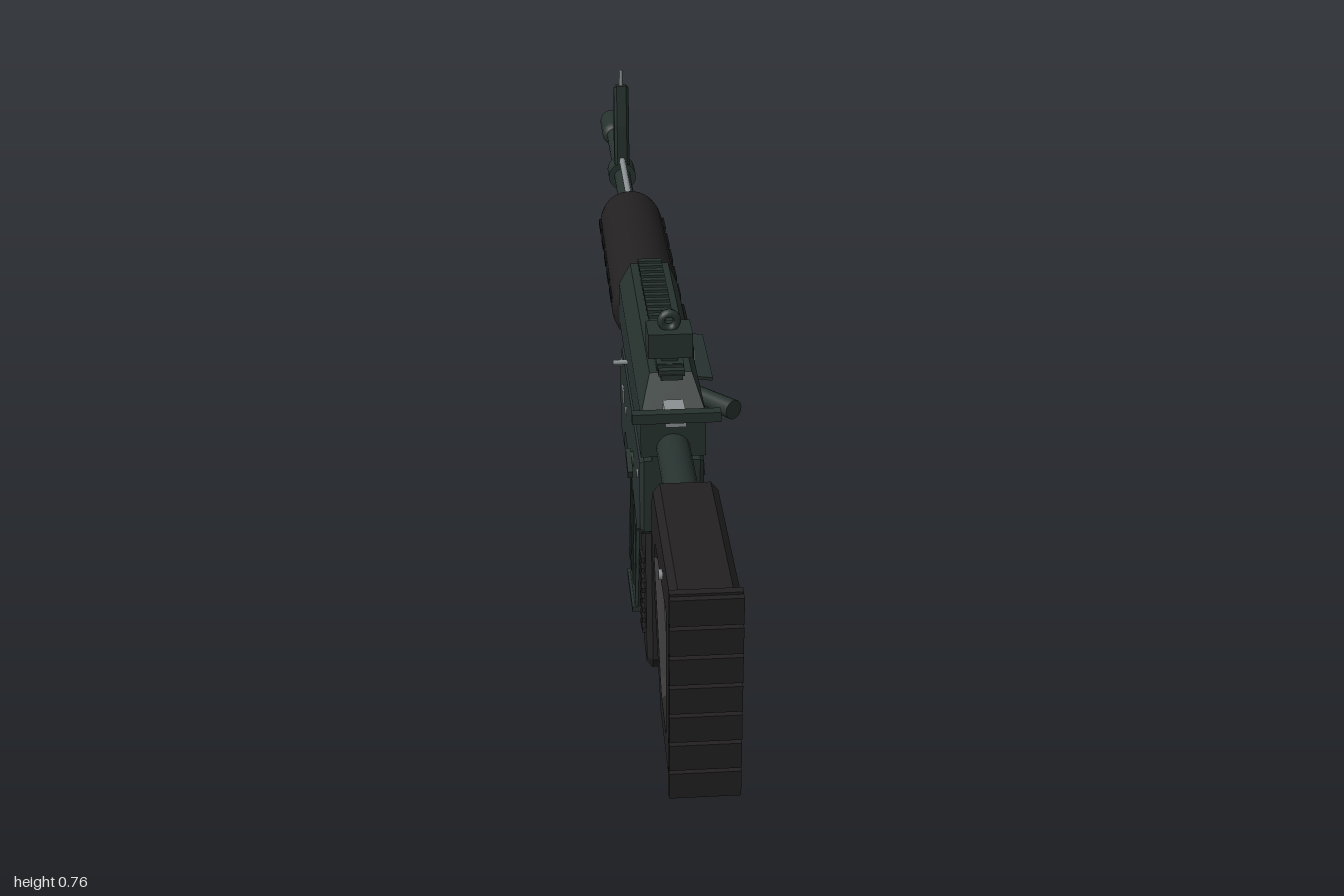
import * as THREE from 'three';

export function createModel() {
  const model = new THREE.Group();
  const root = new THREE.Group();
  root.name = 'rifle';
  root.position.x = -0.0175; // side handle sticks out, so the body sits off centre
  model.add(root);

  const mat = (name, color) => {
    const m = new THREE.MeshStandardMaterial({ color });
    m.name = name;
    return m;
  };
  const green = mat('dark green metal', 0x27322f);
  const black = mat('black polymer', 0x222020);
  const steel = mat('bare steel', 0x8a9092);
  const shade = mat('recess black', 0x101111);

  const add = (name, geo, material, x = 0, y = 0, z = 0) => {
    const mesh = new THREE.Mesh(geo, material);
    mesh.name = name;
    mesh.position.set(x, y, z);
    root.add(mesh);
    return mesh;
  };
  const box = (name, m, w, h, d, x, y, z) => add(name, new THREE.BoxGeometry(w, h, d), m, x, y, z);
  // Side profile given as [z, y], extruded across x with an optional bevel
  const side = (pts, width, bevel = 0, hole = null) => {
    const v = (a) => a.map(([z, y]) => new THREE.Vector2(z, y));
    const shape = new THREE.Shape(v(pts));
    if (hole) shape.holes.push(new THREE.Path(v(hole)));
    const depth = width - 2 * bevel;
    return new THREE.ExtrudeGeometry(shape, {
      depth, steps: 1, bevelEnabled: bevel > 0, bevelSize: bevel,
      bevelThickness: bevel, bevelOffset: -bevel, bevelSegments: 1,
    }).translate(0, 0, -depth / 2).rotateY(-Math.PI / 2);
  };
  // Round part along z
  const rod = (name, m, r, z0, z1, y, seg = 20) =>
    add(name, new THREE.CylinderGeometry(r, r, Math.abs(z1 - z0), seg).rotateX(Math.PI / 2), m, 0, y, (z0 + z1) / 2);
  // Turned part along z, profile as [radius, z]
  const turned = (name, m, pts, y, seg = 24) =>
    add(name, new THREE.LatheGeometry(pts.map(([r, z]) => new THREE.Vector2(r, z)), seg).rotateX(Math.PI / 2), m, 0, y, 0);
  // Pin through the body along x
  const pin = (name, m, r, len, y, z) =>
    add(name, new THREE.CylinderGeometry(r, r, len, 12).rotateZ(Math.PI / 2), m, 0, y, z);

  // Shoulder stock with open middle
  add('stock', side(
    [[0.985, 0.307], [0.985, 0.607], [0.69, 0.607], [0.647, 0.555], [0.69, 0.475], [0.83, 0.325]],
    0.09, 0.01,
    [[0.91, 0.365], [0.855, 0.375], [0.835, 0.39], [0.73, 0.51], [0.74, 0.53], [0.91, 0.53]]), black);
  box('buttPad', black, 0.094, 0.304, 0.012, 0, 0.457, 0.984);
  for (let i = 0; i < 7; i++) box('buttRidge', black, 0.094, 0.038, 0.012, 0, 0.327 + i * 0.0433, 0.994);
  box('stockLatch', black, 0.03, 0.03, 0.025, 0, 0.47, 0.695);
  pin('stockPin', steel, 0.007, 0.1, 0.56, 0.855);
  rod('stockTube', green, 0.025, 0.44, 0.69, 0.562);

  // Upper receiver, narrowing toward the top
  box('upperReceiver', green, 0.095, 0.067, 0.495, 0, 0.5835, 0.2525);
  const roof = side([[0.5, 0.617], [0.45, 0.662], [0.03, 0.662], [0.005, 0.617]], 0.095);
  const p = roof.attributes.position;
  for (let i = 0; i < p.count; i++) if (p.getY(i) > 0.64) p.setX(i, p.getX(i) * 0.65);
  roof.computeVertexNormals();
  add('receiverRoof', roof, green);

  // Top rail
  box('railBase', green, 0.032, 0.008, 0.435, 0, 0.662, 0.2525);
  for (let i = 0; i < 22; i++) box('railTooth', green, 0.038, 0.009, 0.011, 0, 0.668, 0.042 + i * 0.02);

  // Ejection port and its open flap
  box('portFrame', shade, 0.004, 0.05, 0.172, 0.0475, 0.599, 0.2);
  box('bolt', steel, 0.006, 0.038, 0.16, 0.0485, 0.599, 0.2);
  box('portFlap', green, 0.034, 0.005, 0.165, 0.063, 0.568, 0.193).rotation.z = -0.12;

  // Side handle swept backward
  const handle = new THREE.Group();
  handle.name = 'sideHandle';
  const grip = new THREE.Mesh(new THREE.CylinderGeometry(0.015, 0.012, 0.09, 14), green);
  grip.name = 'handleKnob';
  grip.quaternion.setFromUnitVectors(new THREE.Vector3(0, 1, 0), new THREE.Vector3(0.58, 0.04, 0.81).normalize());
  handle.add(grip);
  handle.position.set(0.066, 0.6, 0.422);
  root.add(handle);

  // Rear charging bar
  box('chargingRod', steel, 0.03, 0.02, 0.05, 0, 0.627, 0.515);
  box('chargingBar', green, 0.127, 0.015, 0.016, 0, 0.638, 0.547);

  // Lower receiver
  add('lowerReceiver', side(
    [[0.48, 0.533], [0.48, 0.415], [0.41, 0.373], [0.27, 0.405], [0.135, 0.405], [0.115, 0.365],
      [0.02, 0.365], [0.01, 0.48], [0.06, 0.533]], 0.095, 0.006), green);
  box('receiverLink', green, 0.06, 0.024, 0.04, 0, 0.542, 0.46);
  for (const [y, z] of [[0.49, 0.435], [0.465, 0.17], [0.50, 0.06]]) pin('receiverPin', steel, 0.007, 0.1, y, z);
  box('magazineRelease', steel, 0.1, 0.022, 0.026, 0, 0.462, 0.1);
  for (const s of [-1, 1]) {
    const lever = box('selectorLever', green, 0.008, 0.012, 0.055, s * 0.055, 0.465, 0.352);
    lever.rotation.x = 0.25;
    const hub = pin('selectorHub', green, 0.012, 0.022, 0.463, 0.335);
    hub.position.x = s * 0.047;
  }
  pin('longPin', steel, 0.004, 0.14, 0.565, 0.2);

  // Pistol grip with side ridges
  add('pistolGrip', side(
    [[0.365, 0.42], [0.41, 0.145], [0.398, 0.125], [0.33, 0.132], [0.258, 0.36], [0.262, 0.42]], 0.064, 0.009), black);
  for (let i = 0; i < 8; i++) {
    const y = 0.175 + i * 0.016;
    box('gripRidge', black, 0.074, 0.008, 0.048, 0, y, 0.353 - (y - 0.175) * 0.22).rotation.x = -0.2;
  }

  // Trigger and guard
  const tube = (pts, r, n) => new THREE.TubeGeometry(
    new THREE.CatmullRomCurve3(pts.map(([z, y]) => new THREE.Vector3(0, y, z)), false, 'catmullrom', 0.2), n, r, 8);
  add('triggerGuard', tube([[0.26, 0.40], [0.258, 0.30], [0.225, 0.268], [0.145, 0.268],
    [0.112, 0.30], [0.112, 0.38]], 0.0075, 40), green).scale.x = 2;
  add('trigger', tube([[0.2, 0.42], [0.197, 0.35], [0.188, 0.315], [0.172, 0.295]], 0.006, 14), steel).scale.x = 1.6;

  // Curved magazine: bands follow the same sweep
  const magZ = (t, f) => {
    const k = Math.max(t, 0) ** 1.8;
    return 0.085 - 0.065 * k - f * (0.12 + 0.008 * k);
  };
  const magBand = (f0, f1, t0, t1, width, bevel) => {
    const a = [], b = [];
    for (let i = 0; i <= 10; i++) {
      const t = t0 + (t1 - t0) * i / 10;
      a.push([magZ(t, f0), 0.365 * (1 - t)]);
      b.unshift([magZ(t, f1), 0.365 * (1 - t)]);
    }
    return side([...a, ...b], width, bevel);
  };
  add('magazine', magBand(0, 1, -0.06, 0.99, 0.05, 0.005), green);
  for (const f of [0.06, 0.4, 0.72]) add('magazineRib', magBand(f, f + 0.22, 0.03, 0.84, 0.058, 0.003), green);
  box('magazineBase', green, 0.06, 0.01, 0.136, 0, 0.005, -0.045);

  // Handguard with side slots
  turned('handguard', black, [[0, -0.452], [0.044, -0.452], [0.053, -0.44], [0.056, -0.42],
    [0.058, -0.03], [0.056, -0.012], [0.05, 0.002], [0, 0.002]], 0.559);
  for (const s of [-1, 1]) for (let i = 0; i < 5; i++)
    box('handguardSlot', shade, 0.004, 0.01, 0.05, s * 0.0568, 0.567, -0.07 - i * 0.078);
  rod('barrelRoot', green, 0.03, 0.03, -0.02, 0.565);

  // Barrel, gas rod and muzzle
  rod('barrel', green, 0.0155, -0.44, -0.96, 0.56);
  rod('barrelCollar', steel, 0.025, -0.45, -0.485, 0.56);
  rod('gasRod', steel, 0.006, -0.45, -0.67, 0.592, 10);
  turned('muzzle', green, [[0, -1], [0.01, -1], [0.02, -1], [0.024, -0.993], [0.024, -0.915],
    [0.019, -0.9], [0.0, -0.9]], 0.56, 20);
  rod('bore', shade, 0.01, -0.998, -1.0005, 0.56, 16);

  // Front sight
  rod('frontSightCollar', green, 0.026, -0.66, -0.705, 0.56);
  add('frontSight', side([[-0.66, 0.57], [-0.703, 0.57], [-0.699, 0.66], [-0.69, 0.735],
    [-0.677, 0.735], [-0.664, 0.66]], 0.028, 0.005), green);
  add('frontSightPost', new THREE.CylinderGeometry(0.003, 0.004, 0.04, 8), steel, 0, 0.745, -0.684);

  // Rear sight
  box('rearSightFoot', green, 0.04, 0.01, 0.05, 0, 0.668, 0.42);
  box('rearSightStem', green, 0.024, 0.03, 0.03, 0, 0.675, 0.42);
  box('rearSightBlock', green, 0.065, 0.038, 0.052, 0, 0.701, 0.42);
  add('rearSightRing', new THREE.TorusGeometry(0.0115, 0.006, 8, 20), green, 0, 0.731, 0.42).scale.z = 1.6;

  return model;
}
